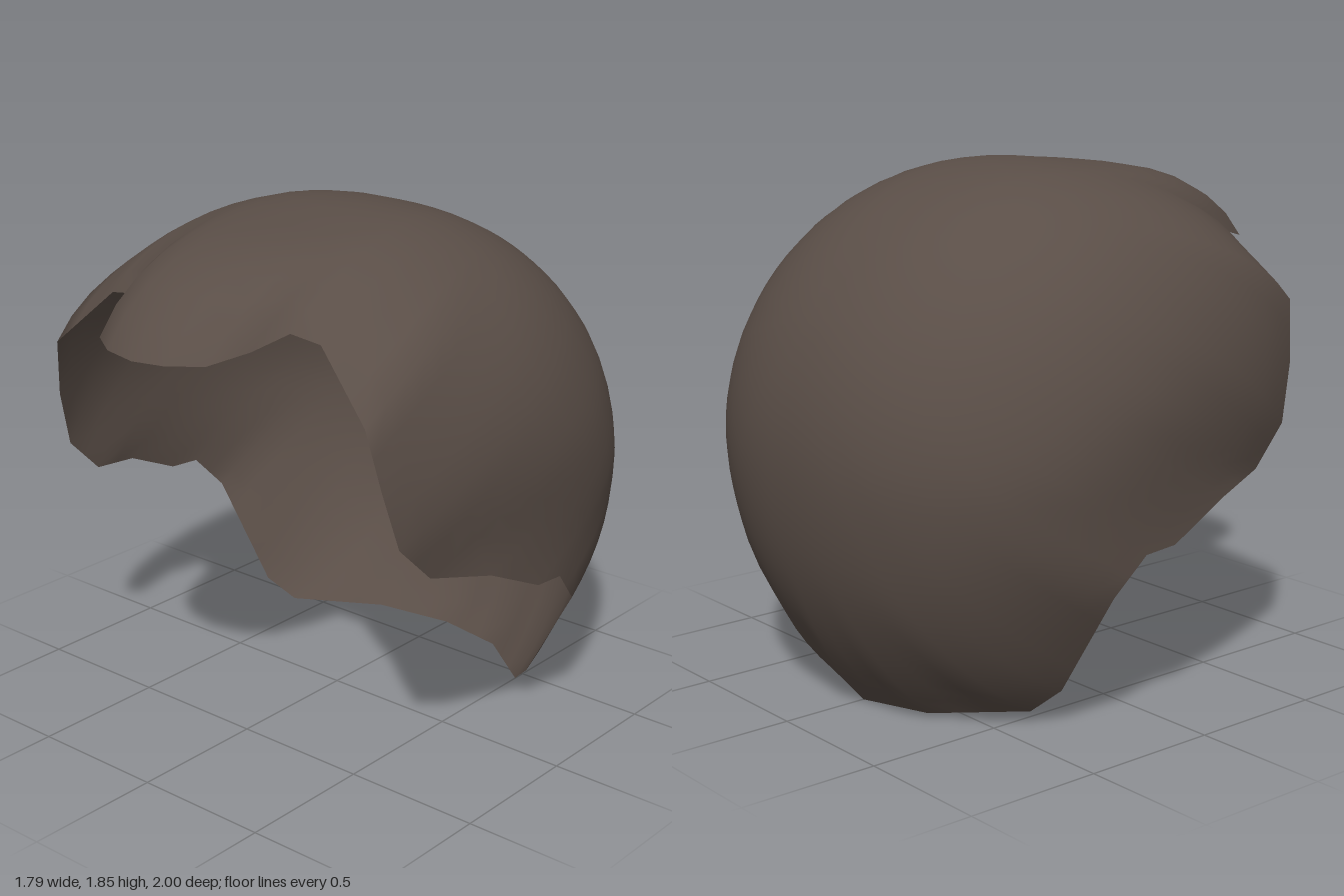
import * as THREE from 'three';

// Half of the rim, from the brim tip round the left side to the nape
const RIM = [
  [0, 1.51, 1.0], [0.13, 1.515, 0.98], [0.24, 1.52, 0.91], [0.31, 1.55, 0.78],
  [0.36, 1.59, 0.65], [0.47, 1.57, 0.63], [0.7, 1.36, 0.69], [0.74, 1.15, 0.655],
  [0.765, 0.94, 0.595], [0.78, 0.8, 0.45], [0.85, 0.75, 0.21], [0.875, 0.64, -0.03],
  [0.875, 0.63, -0.16], [0.85, 0.5, -0.28], [0.64, 0.13, -0.32], [0.55, 0.045, -0.38],
  [0.28, 0.015, -0.61], [0, 0, -0.68],
];
const CENTRE = new THREE.Vector3(0, 0.88, 0);
const POLE = new THREE.Vector3(0, 0.5, -0.866).normalize();
const RINGS = 18;

// Distance from the centre to the rounded skull shape along a direction
function skullRadius(d) {
  const p = d.y > 0 ? 2.4 : 2.4 + 0.45 * d.y;
  const rho = Math.hypot(d.z, d.y / (d.y > 0 ? 0.97 : 1.2));
  return Math.pow(Math.pow(Math.abs(d.x) / 0.92, p) + Math.pow(rho, p), -1 / p);
}

// Closed rim, mirrored and evenly subdivided
function closedRim() {
  const left = RIM.map((p) => new THREE.Vector3(...p));
  const right = left.slice(1, -1).reverse().map((p) => new THREE.Vector3(-p.x, p.y, p.z));
  const corners = [...left, ...right];
  const points = [];
  corners.forEach((a, i) => {
    const b = corners[(i + 1) % corners.length];
    const n = Math.max(1, Math.round(a.distanceTo(b) / 0.11));
    for (let k = 0; k < n; k++) points.push(a.clone().lerp(b, k / n));
  });
  return points;
}

// Shell swept in arcs from the back of the crown out to the rim
function shellGeometry() {
  const rim = closedRim();
  const n = rim.length;
  const positions = [];
  const add = (dir, radius) => {
    const v = dir.clone().multiplyScalar(radius).add(CENTRE);
    positions.push(v.x, v.y, v.z);
  };
  add(POLE, skullRadius(POLE));
  for (let i = 1; i <= RINGS; i++) {
    const t = i / RINGS;
    const blend = THREE.MathUtils.smoothstep(t, 0.58, 1);
    for (const point of rim) {
      const offset = point.clone().sub(CENTRE);
      const end = offset.clone().normalize();
      const flare = offset.length() / skullRadius(end) - 1;
      const axis = new THREE.Vector3().crossVectors(POLE, end).normalize();
      const dir = POLE.clone().applyAxisAngle(axis, POLE.angleTo(end) * t);
      add(dir, skullRadius(dir) * (1 + flare * blend));
    }
  }
  const at = (i, j) => (i === 0 ? 0 : 1 + (i - 1) * n + (j % n));
  const index = [];
  for (let i = 0; i < RINGS; i++) {
    for (let j = 0; j < n; j++) {
      index.push(at(i, j), at(i + 1, j), at(i + 1, j + 1));
      if (i > 0) index.push(at(i, j), at(i + 1, j + 1), at(i, j + 1));
    }
  }
  const geometry = new THREE.BufferGeometry();
  geometry.setAttribute('position', new THREE.Float32BufferAttribute(positions, 3));
  geometry.setIndex(index);
  geometry.computeVertexNormals();
  return geometry;
}

export function createModel() {
  const group = new THREE.Group();
  group.name = 'headShell';
  const darkBrown = new THREE.MeshStandardMaterial({ color: 0x5a4e47, side: THREE.DoubleSide });
  darkBrown.name = 'darkBrown';
  const shell = new THREE.Mesh(shellGeometry(), darkBrown);
  shell.name = 'shellWithBrim';
  group.add(shell);
  return group;
}
